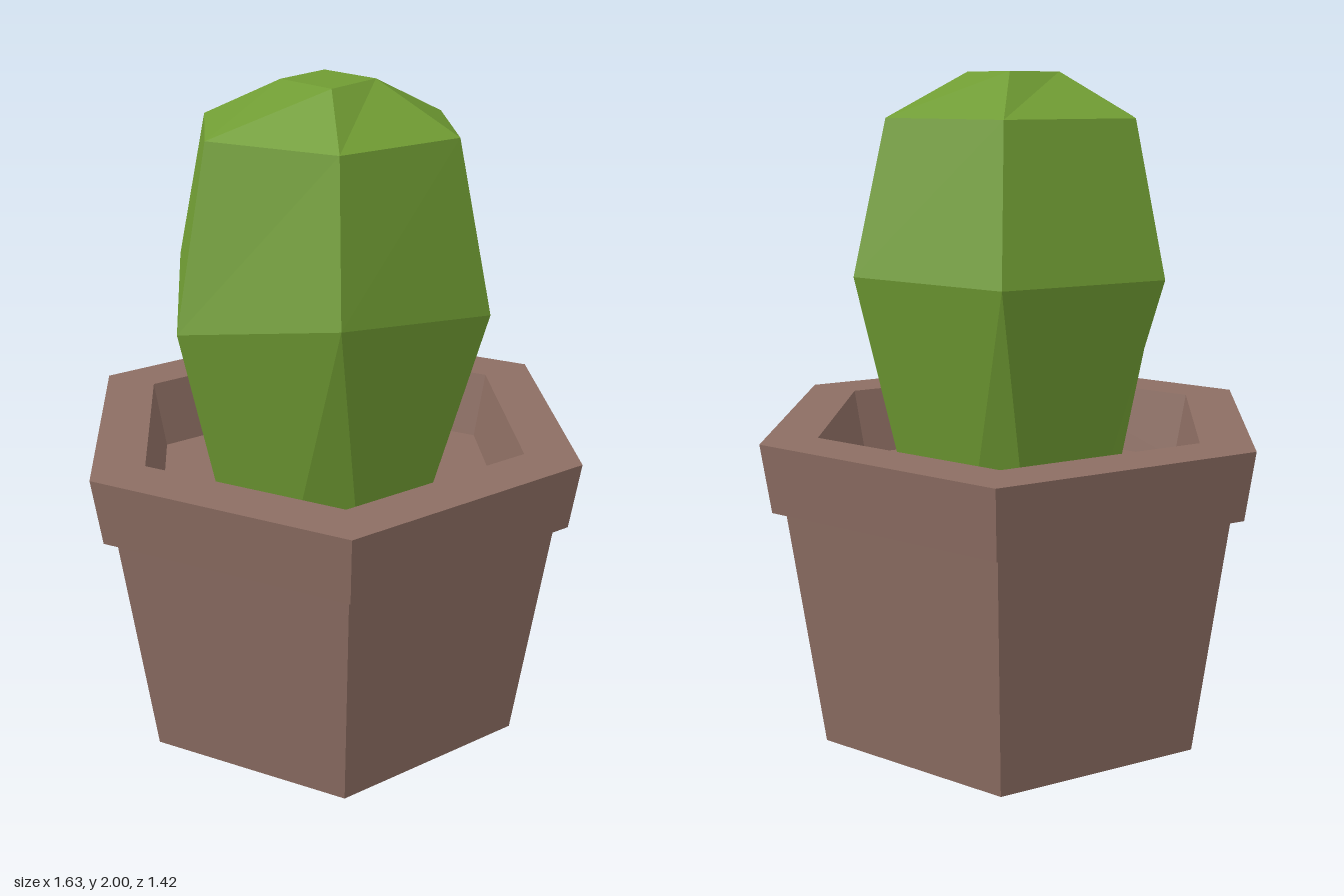
import * as THREE from 'three';

const SIDES = 6;

function createMaterial(name, color) {
  const material = new THREE.MeshStandardMaterial({ color, flatShading: true, side: THREE.DoubleSide });
  material.name = name;
  return material;
}

// Six-sided turned part from [radius, height] pairs, with corners on the x axis
function turned(name, profile, material) {
  const points = profile.map(([r, y]) => new THREE.Vector2(r, y));
  const mesh = new THREE.Mesh(new THREE.LatheGeometry(points, SIDES, Math.PI / 2), material);
  mesh.name = name;
  return mesh;
}

// Skin joining rings of six points, listed from bottom to top, closed at both ends
function loft(rings) {
  const positions = [];
  const triangle = (a, b, c) => {
    const [p, q, r] = [a, b, c].map((v) => new THREE.Vector3(...v));
    if (q.sub(p).cross(r.sub(p)).length() > 1e-6) positions.push(...a, ...b, ...c);
  };
  for (let k = 0; k < rings.length - 1; k++) {
    const low = rings[k], high = rings[k + 1];
    for (let i = 0; i < SIDES; i++) {
      const j = (i + 1) % SIDES;
      triangle(low[i], low[j], high[j]);
      triangle(low[i], high[j], high[i]);
    }
  }
  const bottom = rings[0], top = rings[rings.length - 1];
  for (let i = 1; i < SIDES - 1; i++) {
    triangle(bottom[0], bottom[i + 1], bottom[i]);
    triangle(top[0], top[i], top[i + 1]);
  }
  const geometry = new THREE.BufferGeometry();
  geometry.setAttribute('position', new THREE.Float32BufferAttribute(positions, 3));
  geometry.computeVertexNormals();
  return geometry;
}

export function createModel() {
  const model = new THREE.Group();
  model.name = 'pottedCactus';
  const clay = createMaterial('clayBrown', 0x8d6e63);
  const green = createMaterial('cactusGreen', 0x709c33);

  // Pot: open-bottomed tapered wall, overhanging rim and soil
  const pot = new THREE.Group();
  pot.name = 'pot';
  pot.rotation.y = 0.013;
  pot.add(
    turned('potWall', [[0.642, 0], [0.745, 0.748]], clay),
    turned('potRim', [[0.745, 0.748], [0.786, 0.748], [0.816, 0.957], [0.64, 0.957], [0.6, 0.745]], clay),
    turned('soil', [[0.6, 0.745], [0, 0.745]], clay),
  );
  model.add(pot);

  // Cactus rings, each running right, back, left, front; ends pinch to four corners
  const back = [0, 0.14, -0.2], front = [0.01, 0.14, 0.22];
  const topA = [-0.11, 2, -0.08], topC = [0.12, 2, 0.065];
  const rings = [
    [[0.22, 0.14, 0], back, back, [-0.25, 0.14, 0], front, front],
    [[0.515, 1.42, 0], [0.255, 1.42, -0.45], [-0.26, 1.42, -0.45],
      [-0.515, 1.33, 0], [-0.255, 1.42, 0.447], [0.262, 1.37, 0.445]],
    [[0.405, 1.87, 0.005], [0.203, 1.87, -0.355], [-0.21, 1.87, -0.355],
      [-0.405, 1.87, 0], [-0.2, 1.87, 0.355], [0.205, 1.87, 0.35]],
    [topC, [0.083, 2, -0.145], topA, topA, [-0.08, 2, 0.137], topC],
  ];
  const cactus = new THREE.Mesh(loft(rings), green);
  cactus.name = 'cactus';
  model.add(cactus);

  return model;
}
